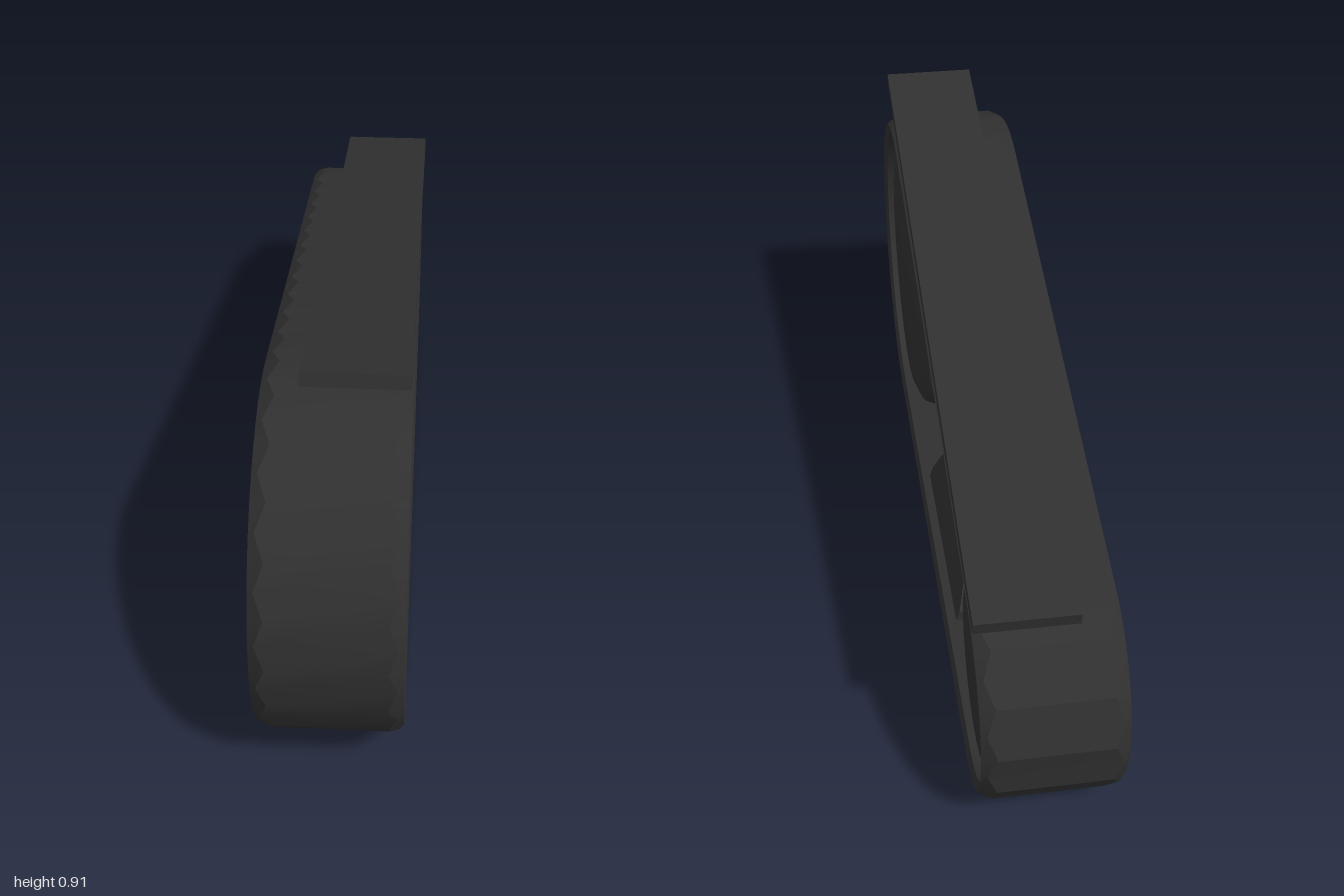
import * as THREE from 'three';
import { toCreasedNormals } from 'three/addons/utils/BufferGeometryUtils.js';

const darkRubber = new THREE.MeshStandardMaterial({ color: 0x303030 });

function add(group, name, geometry, x = 0, y = 0, z = 0) {
  const mesh = new THREE.Mesh(geometry, darkRubber);
  mesh.name = name;
  mesh.position.set(x, y, z);
  group.add(mesh);
  return mesh;
}

// Closed belt: a ribbed cross-section swept around two pulleys
function beltGeometry() {
  const rad = Math.PI / 180, count = 84;
  const path = new THREE.Path();
  path.absarc(0.6, 0.408, 0.4, -90 * rad, 102.2 * rad, false);
  path.absarc(-0.735, 0.265, 0.258, 102.2 * rad, 270 * rad, false);
  path.closePath();
  const pts = path.getSpacedPoints(count).slice(0, count);
  const positions = [], index = [], sides = 6;
  pts.forEach((p, i) => {
    const a = pts[(i + count - 1) % count], b = pts[(i + 1) % count];
    const t = b.clone().sub(a).normalize();
    const rib = i % 2;
    const top = rib ? 0.004 : -0.003, edge = rib ? 0.118 : 0.138;
    const section = [[-0.032, -0.142], [-0.014, -0.15], [top, -edge], [top, edge], [-0.014, 0.15], [-0.032, 0.142]];
    for (const [out, x] of section) positions.push(x - 0.005, p.y - t.x * out, p.x + t.y * out);
    for (let j = 0; j < sides; j++) {
      const k = (j + 1) % sides, n = (i + 1) % count;
      const q = [i * sides + j, i * sides + k, n * sides + k, n * sides + j];
      index.push(q[0], q[1], q[2], q[0], q[2], q[3]);
    }
  });
  const g = new THREE.BufferGeometry();
  g.setAttribute('position', new THREE.Float32BufferAttribute(positions, 3));
  g.setIndex(index);
  return toCreasedNormals(g, 0.4);
}

// Wheel turned about x: recessed hub on the -x side, soft dome on the +x side
function wheelGeometry(r, x0, x1, hub, round) {
  const profile = [
    [0, x0 + 0.008], [hub, x0 + 0.008], [hub + 0.006, x0],
    [r - round, x0], [r - round * 0.3, x0 + round * 0.3], [r, x0 + round],
    [r, x1 - round], [r - round * 0.25, x1 - round * 0.4], [r - round, x1 - round * 0.08], [0, x1],
  ].map(([a, b]) => new THREE.Vector2(a, b));
  const g = new THREE.LatheGeometry(profile, 22);
  g.rotateZ(-Math.PI / 2);
  return toCreasedNormals(g, 0.75);
}

// Bogie block: trapezoid side outline, leaning inward toward the top
function bogieGeometry() {
  const outline = [[0.09, 0.11], [0.09, 0.135], [0, 0.3], [-0.03, 0.34], [-0.27, 0.34], [-0.3, 0.3], [-0.43, 0.135], [-0.43, 0.11]];
  const shape = new THREE.Shape(outline.map(([z, y]) => new THREE.Vector2(-z, y)));
  const g = new THREE.ExtrudeGeometry(shape, { depth: 0.18, bevelEnabled: false });
  g.rotateY(Math.PI / 2);
  g.translate(-0.055, 0, 0);
  const pos = g.attributes.position;
  for (let i = 0; i < pos.count; i++) {
    if (pos.getX(i) > 0) pos.setX(i, pos.getX(i) - (pos.getY(i) - 0.11) * 0.3);
  }
  g.computeVertexNormals();
  return g;
}

export function createModel() {
  const model = new THREE.Group();
  model.name = 'trackUnit';

  add(model, 'trackBelt', beltGeometry());
  add(model, 'frontWheel', wheelGeometry(0.378, -0.135, 0.132, 0.18, 0.07), 0, 0.415, 0.595);
  add(model, 'rearWheel', wheelGeometry(0.232, -0.135, 0.13, 0.11, 0.05), 0, 0.268, -0.745);

  // Lower road wheels and the block that carries them
  for (const z of [0.01, -0.305]) {
    add(model, 'roadWheel', wheelGeometry(0.13, -0.135, -0.01, 0.065, 0.03), 0, 0.172, z);
  }
  add(model, 'bogieBlock', bogieGeometry());

  // Return rollers on long thin axles
  for (const [y, z] of [[0.605, -0.03], [0.56, -0.225]]) {
    const roller = new THREE.Group();
    roller.name = 'returnRoller';
    roller.position.set(0, y, z);
    add(roller, 'rollerDisc', wheelGeometry(0.05, -0.145, -0.11, 0.02, 0.01));
    const axle = new THREE.CylinderGeometry(0.012, 0.012, 0.25, 10).rotateZ(Math.PI / 2);
    add(roller, 'rollerAxle', axle, 0.005, 0, 0);
    model.add(roller);
  }

  // Sloping guard plate above the belt
  const guard = add(model, 'guardPlate', new THREE.BoxGeometry(0.211, 0.03, 1.675), 0.041, 0.727, -0.08);
  guard.rotation.set(-0.207, -0.004, 0);

  return model;
}
